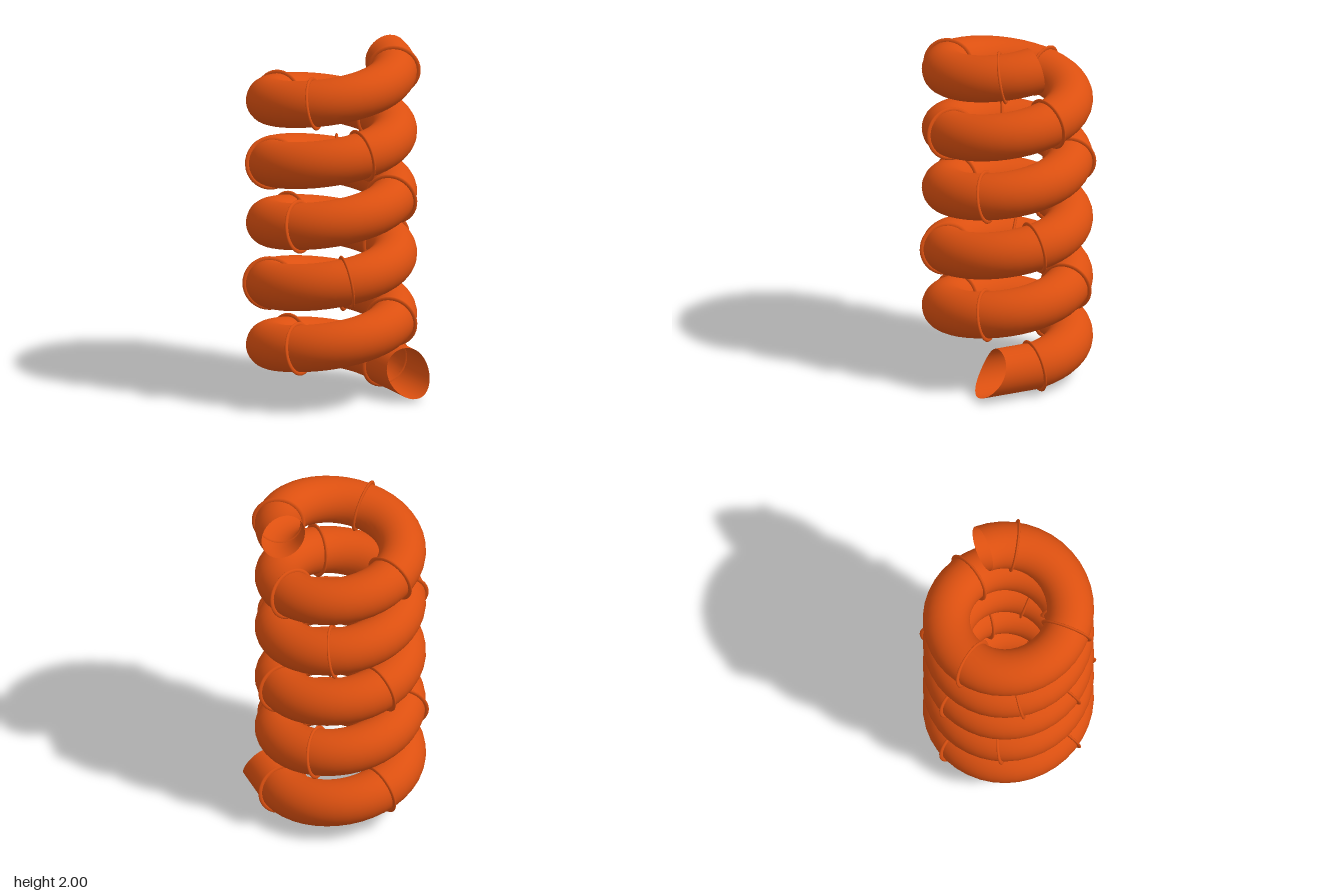
import * as THREE from 'three';

const CX = -0.01, CZ = -0.01;   // helix axis
const R = 0.338, TUBE = 0.128;  // coil radius, pipe radius
const Y0 = 0.147, PITCH = 0.345, TURNS = 5;

// Rising coil, starting at +x and turning towards the back
class Helix extends THREE.Curve {
  getPoint(t, target = new THREE.Vector3()) {
    const a = t * TURNS * Math.PI * 2;
    return target.set(CX + R * Math.cos(a), Y0 + PITCH * TURNS * t, CZ - R * Math.sin(a));
  }
}

// Straight open pipe along z with a scooped, slanted mouth
function chuteGeometry() {
  const geo = new THREE.CylinderGeometry(TUBE, TUBE, 1, 36, 8, true);
  geo.rotateX(Math.PI / 2); // length now runs along z from -0.5 to 0.5
  const p = geo.attributes.position;
  for (let i = 0; i < p.count; i++) {
    const y = p.getY(i), t = p.getZ(i) + 0.5;
    const h = THREE.MathUtils.clamp((y + TUBE) / (2 * TUBE), 0, 1);
    const start = CZ + 0.16 * y;
    const end = 0.2 + 0.13 * Math.pow(1 - h, 1.8);
    p.setZ(i, start + (end - start) * t);
  }
  return geo;
}

export function createModel() {
  const group = new THREE.Group();
  const orange = new THREE.MeshStandardMaterial({ color: 0xdc5010, side: THREE.DoubleSide });
  orange.name = 'orange plastic';

  // Spiral pipe
  const helix = new Helix();
  const pipe = new THREE.Mesh(new THREE.TubeGeometry(helix, 200, TUBE, 32, false), orange);
  pipe.name = 'spiralTube';
  group.add(pipe);

  // Exit chute at the bottom
  const chute = new THREE.Mesh(chuteGeometry(), orange);
  chute.name = 'exitChute';
  chute.position.set(CX + R, Y0, 0);
  group.add(chute);

  // Joint flanges between pipe sections
  const angles = [0, 105, 210, 315];
  for (let a = 405; a <= 1770; a += 105) angles.push(a);
  const ringGeo = new THREE.TorusGeometry(0.133, 0.014, 8, 36);
  ringGeo.scale(1, 1, 0.55);
  const joints = new THREE.Group();
  joints.name = 'jointFlanges';
  for (const a of angles) {
    const t = a / (360 * TURNS);
    const ring = new THREE.Mesh(ringGeo, orange);
    ring.name = 'jointFlange';
    const c = helix.getPoint(t);
    ring.position.copy(c);
    ring.lookAt(c.clone().add(helix.getTangent(t)));
    joints.add(ring);
  }
  group.add(joints);

  return group;
}
